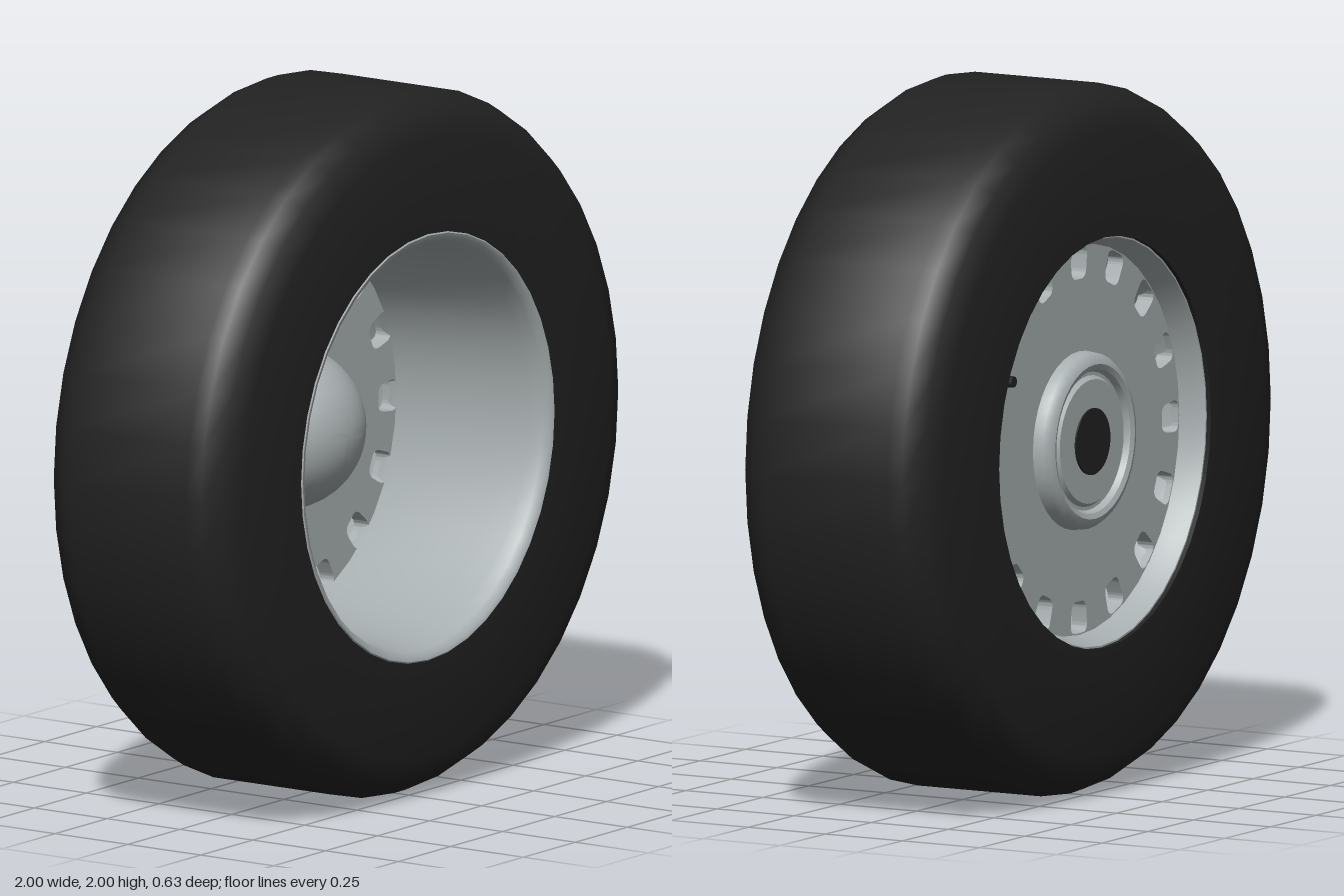
import * as THREE from 'three';
import { toCreasedNormals } from 'three/addons/utils/BufferGeometryUtils.js';

const SEGMENTS = 40;

// Revolve a profile of [radius, z] pairs about the wheel axle.
function revolve(name, profile, material, crease = 0.75) {
  const points = profile.map(([r, z]) => new THREE.Vector2(r, z));
  const geometry = new THREE.LatheGeometry(points, SEGMENTS).rotateX(Math.PI / 2);
  const mesh = new THREE.Mesh(toCreasedNormals(geometry, crease), material);
  mesh.name = name;
  return mesh;
}

// Rounded slot centred at radius r and angle a, slightly narrower inward.
function slotPath(r, a) {
  const corners = [[-0.038, -0.045], [0.038, -0.045], [0.047, 0.045], [-0.047, 0.045]];
  const place = ([t, d]) => new THREE.Vector2(
    (r + d) * Math.cos(a) - t * Math.sin(a),
    (r + d) * Math.sin(a) + t * Math.cos(a));
  const mix = (p, q, k) => [p[0] + (q[0] - p[0]) * k, p[1] + (q[1] - p[1]) * k];
  const path = new THREE.Path();
  corners.forEach((c, i) => {
    const start = place(mix(c, corners[(i + 3) % 4], 0.32));
    const corner = place(c);
    const end = place(mix(c, corners[(i + 1) % 4], 0.32));
    if (i === 0) path.moveTo(start.x, start.y);
    else path.lineTo(start.x, start.y);
    path.quadraticCurveTo(corner.x, corner.y, end.x, end.y);
  });
  path.closePath();
  return path;
}

export function createModel() {
  const rubber = new THREE.MeshStandardMaterial({ color: 0x222222 });
  rubber.name = 'black rubber';
  const steel = new THREE.MeshStandardMaterial({ color: 0xa8afb0 });
  steel.name = 'grey steel';

  const wheel = new THREE.Group();
  wheel.name = 'wheel';

  // Tyre with flat sidewalls and rounded shoulders
  wheel.add(revolve('tyre', [
    [0.58, -0.315], [0.88, -0.315], [0.95, -0.29], [0.985, -0.24], [1, -0.2],
    [1, 0.2], [0.985, 0.24], [0.95, 0.29], [0.88, 0.315],
    [0.605, 0.315], [0.605, 0.2], [0.58, -0.2], [0.58, -0.315],
  ], rubber));

  // Deep tapering barrel with a rolled front lip
  wheel.add(revolve('rim', [
    [0.575, -0.302], [0.6, -0.302], [0.615, 0.31], [0.605, 0.318], [0.592, 0.314],
    [0.58, 0.295], [0.572, 0.25], [0.562, 0.18], [0.54, -0.175],
    [0.552, -0.24], [0.565, -0.275], [0.575, -0.302],
  ], steel));

  // Wheel disc with a ring of vent slots
  const plate = new THREE.Shape();
  plate.absarc(0, 0, 0.557, 0, Math.PI * 2, false);
  for (let i = 0; i < 16; i++) plate.holes.push(slotPath(0.5, i * Math.PI / 8));
  const discGeometry = new THREE.ExtrudeGeometry(plate, {
    depth: 0.05, bevelEnabled: false, curveSegments: SEGMENTS / 2,
  });
  discGeometry.translate(0, 0, -0.23);
  const disc = new THREE.Mesh(toCreasedNormals(discGeometry, 0.7), steel);
  disc.name = 'ventedDisc';
  wheel.add(disc);

  // Domed hub on the front
  const dome = [];
  for (let i = 0; i <= 12; i++) {
    const a = i / 12 * Math.PI / 2;
    dome.push([0.233 * Math.cos(a), -0.182 + 0.233 * Math.sin(a)]);
  }
  dome[12][0] = 0;
  wheel.add(revolve('hubDome', dome, steel));

  // Stepped hub ring and axle bore on the back
  wheel.add(revolve('hubRing', [
    [0, -0.272], [0.175, -0.272], [0.185, -0.26], [0.195, -0.26], [0.203, -0.277],
    [0.218, -0.283], [0.235, -0.277], [0.248, -0.26], [0.252, -0.225],
  ], steel, 0.6));
  wheel.add(revolve('axleBore', [
    [0, -0.277], [0.094, -0.277], [0.094, -0.27],
  ], rubber));

  // Valve stem by the back edge of the rim
  const valve = new THREE.Mesh(
    new THREE.CylinderGeometry(0.016, 0.02, 0.09, 10).rotateX(-Math.PI / 2), rubber);
  valve.name = 'valveStem';
  valve.position.set(0.495, 0.235, -0.268);
  wheel.add(valve);

  wheel.position.y = 1;
  const model = new THREE.Group();
  model.name = 'wheelModel';
  model.add(wheel);
  return model;
}
